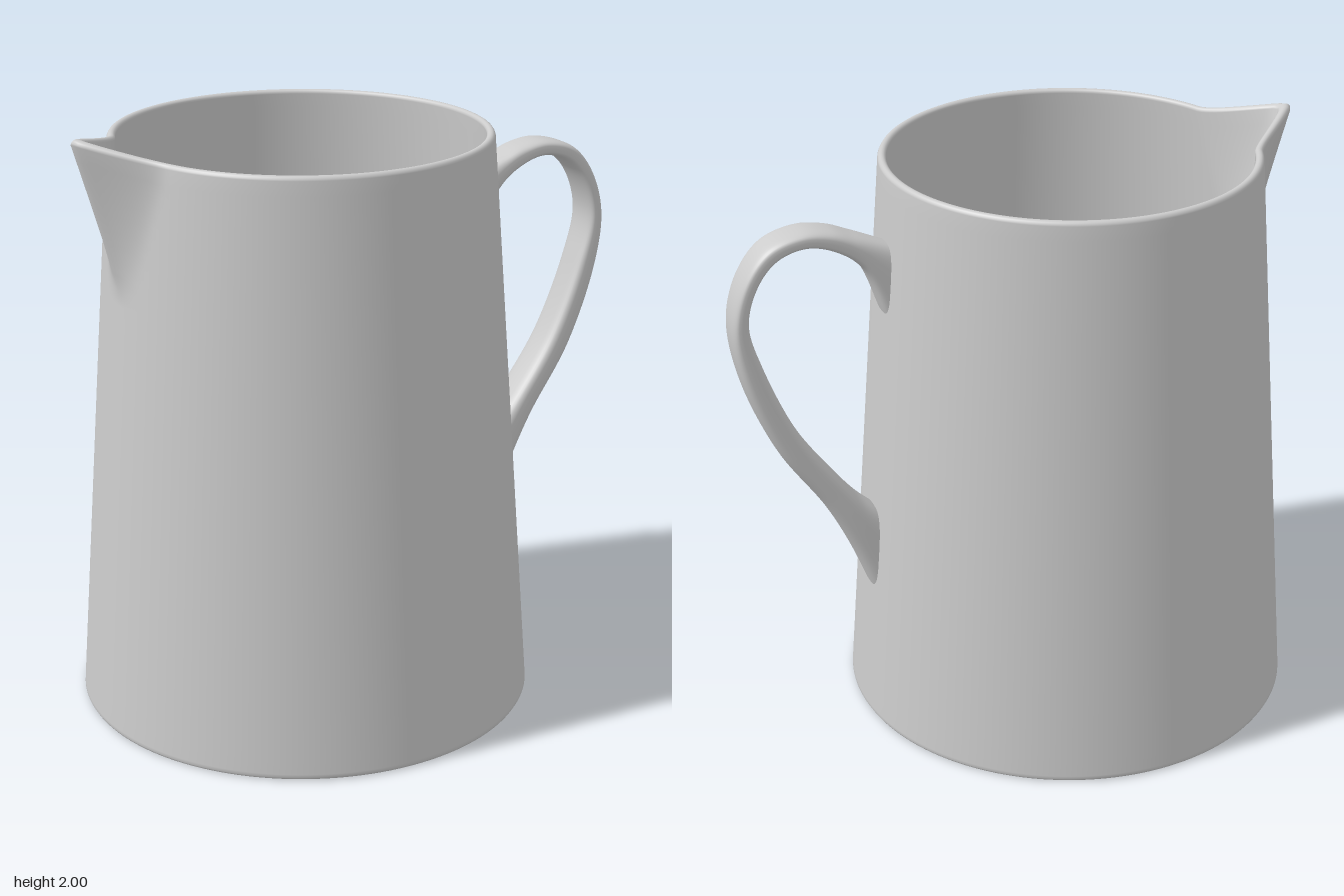
import * as THREE from 'three';
import { mergeVertices } from 'three/addons/utils/BufferGeometryUtils.js';

const AXIS = -0.185; // x of the body's centre line
const TOP = 1.945, SPOUT_BASE = 1.5;
const outerRadius = (y) => 0.77 - 0.145 * (y / TOP);

// Turned jug wall, then its -x side is pulled out into a pouring lip
function bodyGeometry() {
  const wall = 0.028, steps = 40, half = wall / 2;
  const pts = [], inside = [];
  const add = (x, y, isInner) => { pts.push(new THREE.Vector2(x, y)); inside.push(isInner); };
  const wallY = (i, low) => THREE.MathUtils.lerp(low, TOP - half, i / steps);

  [[0, 0], [0.74, 0], [0.757, 0], [0.765, 0.003], [0.769, 0.01]].forEach(([x, y]) => add(x, y, 0));
  for (let i = 0; i <= steps; i++) add(outerRadius(wallY(i, 0.02)), wallY(i, 0.02), 0);
  // Rounded rim
  const rimCentre = outerRadius(TOP) - half;
  for (let i = 1; i < 8; i++) {
    const a = (i / 8) * Math.PI;
    add(rimCentre + half * Math.cos(a), TOP - half + half * Math.sin(a), i / 8);
  }
  for (let i = steps; i >= 0; i--) add(outerRadius(wallY(i, 0.05)) - wall, wallY(i, 0.05), 1);
  [[0.73, 0.04], [0.7, 0.036], [0, 0.036]].forEach(([x, y]) => add(x, y, 1));

  const geo = new THREE.LatheGeometry(pts, 240, Math.PI / 2);
  const pos = geo.attributes.position;
  for (let i = 0; i < pos.count; i++) {
    const x = pos.getX(i), y = pos.getY(i), z = pos.getZ(i);
    const t = Math.min(1, (y - SPOUT_BASE) / (TOP - SPOUT_BASE));
    if (t <= 0) continue;
    // Lip narrows downward and fades out at its base
    const angle = Math.hypot(Math.atan2(z, -x), 0.015);
    const spread = 0.38 * (0.4 + 0.6 * t);
    const bump = Math.pow(Math.max(0, 1 - angle / spread), 1.6) * t;
    const r = Math.hypot(x, z);
    const pull = 1 + (bump * (0.19 - 0.02 * inside[i % pts.length])) / r;
    pos.setXYZ(i, x * pull, y + 0.059 * bump, z * pull);
  }
  geo.deleteAttribute('uv');
  geo.deleteAttribute('normal');
  const merged = mergeVertices(geo, 1e-5);
  merged.computeVertexNormals();
  return merged.translate(AXIS, 0, 0);
}

// Strap handle lofted between an outer and an inner edge curve
function handleGeometry() {
  const curve = (list) => new THREE.CatmullRomCurve3(list.map(([x, y]) => new THREE.Vector3(x, y, 0)));
  const outer = curve([[0.445, 1.72], [0.565, 1.77], [0.645, 1.8], [0.74, 1.81], [0.855, 1.775], [0.935, 1.68],
    [0.98, 1.53], [0.96, 1.34], [0.855, 1.06], [0.7, 0.82], [0.61, 0.64], [0.535, 0.45]]);
  const inner = curve([[0.465, 1.46], [0.54, 1.65], [0.62, 1.72], [0.725, 1.755], [0.82, 1.73], [0.885, 1.66],
    [0.925, 1.53], [0.885, 1.36], [0.775, 1.1], [0.645, 0.91], [0.58, 0.83], [0.515, 0.77]]);
  const rings = 110, sides = 32, verts = [], index = [];
  const round = (v) => Math.sign(v) * Math.pow(Math.abs(v), 0.6);
  for (let i = 0; i <= rings; i++) {
    const u = i / rings;
    const o = outer.getPoint(u), n = inner.getPoint(u);
    const centre = o.clone().add(n).multiplyScalar(0.5);
    const d = o.clone().sub(n).multiplyScalar(0.5);
    const width = 0.067 + 0.011 * THREE.MathUtils.smoothstep(u, 0.55, 0.95);
    for (let j = 0; j < sides; j++) {
      const a = (j / sides) * Math.PI * 2;
      const c = round(Math.cos(a));
      verts.push(centre.x + d.x * c, centre.y + d.y * c, width * round(Math.sin(a)));
      if (i < rings) {
        const k = i * sides + j, m = i * sides + ((j + 1) % sides);
        index.push(k, m, k + sides, m, m + sides, k + sides);
      }
    }
  }
  const geo = new THREE.BufferGeometry();
  geo.setAttribute('position', new THREE.Float32BufferAttribute(verts, 3));
  geo.setIndex(index);
  geo.computeVertexNormals();
  return geo;
}

export function createModel() {
  const group = new THREE.Group();
  group.name = 'jug';
  const material = new THREE.MeshStandardMaterial({ color: 0xcccccc });
  const parts = { body: bodyGeometry(), handle: handleGeometry() };
  for (const [name, geometry] of Object.entries(parts)) {
    const mesh = new THREE.Mesh(geometry, material);
    mesh.name = name;
    group.add(mesh);
  }
  return group;
}
